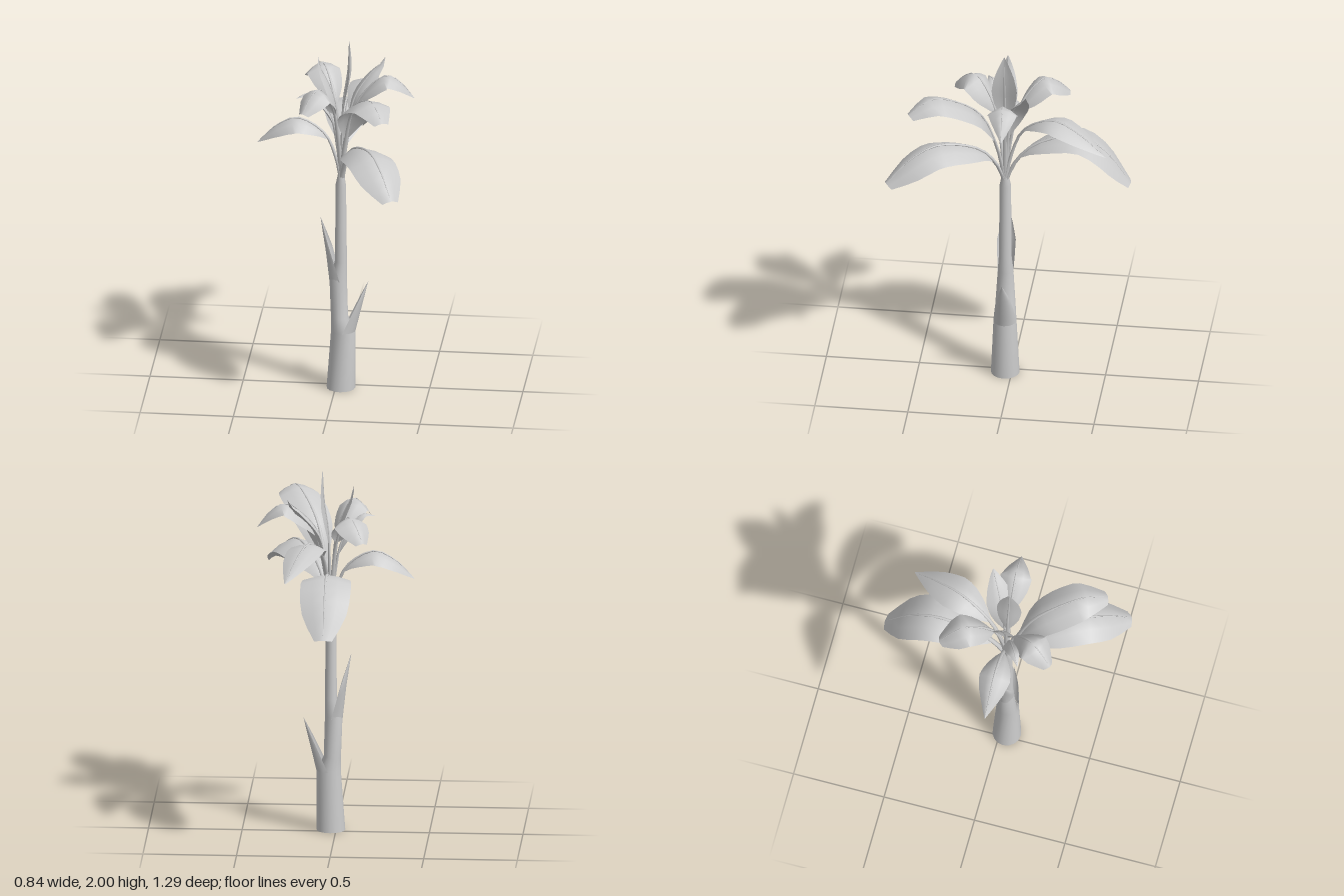
import * as THREE from 'three';
import { mergeVertices } from 'three/addons/utils/BufferGeometryUtils.js';

const CX = 0.03, CZ = 0.035;
const solid = new THREE.MeshStandardMaterial({ color: 0xcccccc });
const thin = new THREE.MeshStandardMaterial({ color: 0xcccccc, side: THREE.DoubleSide });

// Skin a list of equally long rows of Vector3
function loft(rows) {
  const n = rows[0].length, index = [];
  for (let i = 0; i < rows.length - 1; i++) {
    for (let j = 0; j < n - 1; j++) {
      const a = i * n + j, b = a + 1, c = a + n, d = c + 1;
      index.push(a, b, d, a, d, c);
    }
  }
  let g = new THREE.BufferGeometry().setFromPoints(rows.flat());
  g.setIndex(index);
  g = mergeVertices(g, 1e-5);
  g.computeVertexNormals();
  return g;
}

function part(name, geometry, material) {
  const m = new THREE.Mesh(geometry, material);
  m.name = name;
  return m;
}

const range = (n, f) => Array.from({ length: n + 1 }, (_, i) => f(i / n));

// Linear lookup in an evenly spaced profile
function profile(list, t) {
  const p = t * (list.length - 1), i = Math.min(Math.floor(p), list.length - 2);
  return THREE.MathUtils.lerp(list[i], list[i + 1], p - i);
}

// Trunk: rings of [y, centre x, radius x, radius z]
function makeTrunk() {
  const g = new THREE.Group();
  g.name = 'trunk';
  const rings = [[0, 0.028, 0.077, 0.077], [0.33, 0.04, 0.065, 0.062], [0.41, 0.02, 0.046, 0.055],
    [0.63, 0.013, 0.047, 0.042], [0.73, 0.028, 0.032, 0.034],
    [1.17, 0.027, 0.028, 0.031], [1.32, 0.03, 0.001, 0.001]];
  g.add(part('stem', loft(rings.map(([y, x, rx, rz]) => range(16, t => {
    const a = t * Math.PI * 2;
    return new THREE.Vector3(x + rx * Math.cos(a), y, CZ - rz * Math.sin(a));
  }))), solid));
  const base = part('stemBase', new THREE.CircleGeometry(0.077, 16), solid);
  base.rotation.x = Math.PI / 2;
  base.position.set(0.028, 0, CZ);
  g.add(base);
  return g;
}

// Pointed old leaf sheath peeling away from the trunk
function makeSheath(name, side, y0, y1, outer, widths, depth) {
  const rows = range(8, t => {
    const w = profile(widths, t);
    return range(8, u => {
      const a = (0.5 - u) * Math.PI;
      const x = profile(outer, t) - side * depth * (1 - t) * (1 - Math.cos(a));
      return new THREE.Vector3(x, THREE.MathUtils.lerp(y0, y1, t), CZ + side * w * Math.sin(a));
    });
  });
  return part(name, loft(rows), thin);
}

// Midrib: climbs steeply from the trunk, rounds off at the peak, then bends to the tip
function midrib(dir, reach, peakAt, peakY, tipY) {
  const foot = 1.19, peakR = reach * peakAt, rise = peakY - foot;
  const at = (r, y) => new THREE.Vector3(CX + dir.x * r, y, CZ + dir.z * r);
  return new THREE.CatmullRomCurve3([
    at(0, foot),
    at(peakR * 0.13, foot + rise * 0.4),
    at(peakR * 0.4, foot + rise * 0.78),
    at(peakR, peakY),
    at((peakR + reach) / 2, peakY + (tipY - peakY) * 0.3),
    at(reach, tipY),
  ]);
}

// Leaf aimed along (dx, dz); the blade begins at the given share of the midrib
function makeLeaf([dx, dz, peakAt, peakY, tipY, start, width, droop], shape) {
  const g = new THREE.Group();
  g.name = 'leaf';
  const d = new THREE.Vector3(dx, 0, dz).normalize();
  const S = new THREE.Vector3(-d.z, 0, d.x);
  const curve = midrib(d, Math.hypot(dx, dz), peakAt, peakY, tipY);
  const frame = t => ({
    P: curve.getPointAt(t),
    N: new THREE.Vector3().crossVectors(S, curve.getTangentAt(t)),
  });

  // Blade, edges bent down from the midrib
  const blade = range(10, s => {
    const { P, N } = frame(start + (1 - start) * s);
    const k = profile(shape, s);
    return range(4, t => {
      const u = t * 2 - 1;
      return P.clone().addScaledVector(S, u * width * k)
        .addScaledVector(N, -droop * k * Math.pow(Math.abs(u), 1.5));
    });
  });
  g.add(part('leafBlade', loft(blade), thin));

  // Stalk tapering into the midrib
  const stalk = range(14, s => {
    const { P, N } = frame(s * 0.97);
    const r = 0.002 + 0.014 * (1 - s);
    return range(6, t => P.clone()
      .addScaledVector(N, r * 0.7 * Math.cos(t * Math.PI * 2))
      .addScaledVector(S, r * Math.sin(t * Math.PI * 2)));
  });
  g.add(part('leafStalk', loft(stalk), solid));
  return g;
}

// Leaves: dx, dz to the tip, peak position, peak height, tip height, blade start, half width, droop
const BLUNT_LEAVES = [
  [0, -0.675, 0.59, 1.51, 1.24, 0.2, 0.135, 0.03],
  [0.33, 0.6, 0.58, 1.51, 1.34, 0.2, 0.13, 0.06],
  [0.27, 0.485, 0.73, 1.81, 1.74, 0.3, 0.115, 0.05],
  [-0.19, -0.325, 0.6, 1.79, 1.68, 0.5, 0.095, 0.05],
  [-0.18, 0.285, 0.6, 1.79, 1.69, 0.5, 0.09, 0.055],
];
const POINTED_LEAVES = [
  [0.21, -0.565, 0.48, 1.66, 1.52, 0.4, 0.1, 0.03],
  [-0.45, 0, 0.52, 1.55, 1.4, 0.35, 0.085, 0.06],
  [0.39, -0.025, 0.62, 1.81, 1.68, 0.5, 0.085, 0.05],
  [-0.23, 0.12, 0.72, 1.73, 1.71, 0.5, 0.045, 0.02],
  [0.22, -0.135, 0.8, 1.81, 1.86, 0.42, 0.075, 0.03],
  [0.042, 0, 0.75, 1.8, 2, 0.48, 0.068, 0.015],
  [-0.125, 0, 0.75, 1.81, 1.91, 0.45, 0.058, 0.02],
];

export function createModel() {
  const model = new THREE.Group();
  model.name = 'broadLeafPlant';
  model.add(makeTrunk());
  model.add(makeSheath('lowerSheath', 1, 0.33, 0.62, [0.106, 0.175], [0.062, 0.05, 0.034, 0.001], 0.065));
  model.add(makeSheath('upperSheath', -1, 0.62, 0.98, [-0.035, -0.055, -0.082], [0.042, 0.047, 0.05, 0.03, 0.001], 0.06));

  const crown = new THREE.Group();
  crown.name = 'crown';
  const blunt = [0.12, 0.65, 0.92, 1, 1, 0.85, 0.35];
  const pointed = [0.1, 0.6, 0.92, 1, 0.85, 0.5, 0.03];
  BLUNT_LEAVES.forEach(l => crown.add(makeLeaf(l, blunt)));
  POINTED_LEAVES.forEach(l => crown.add(makeLeaf(l, pointed)));
  model.add(crown);
  return model;
}
